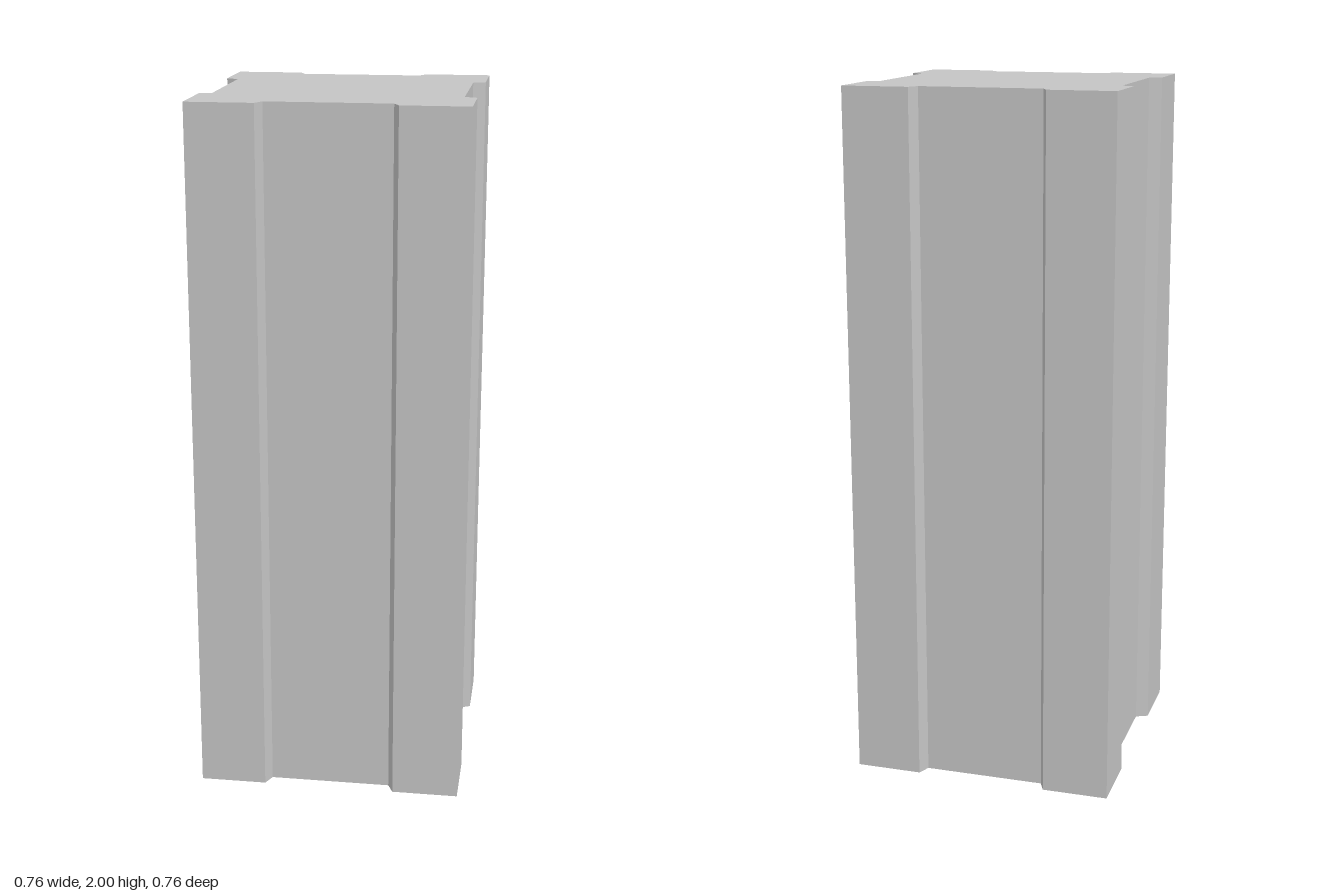
import * as THREE from 'three';

const HEIGHT = 2;
const OUTER = 0.38;       // half width across the corner piers
const RECESS = 0.345;     // half width across the sunken panels
const GROOVE_OUT = 0.19;  // half width of a panel at its mouth
const GROOVE_IN = 0.174;  // half width of a panel at its floor

export function createModel() {
  const group = new THREE.Group();
  group.name = 'pillar';

  const stone = new THREE.MeshStandardMaterial({ color: 0xc4c4c4 });
  stone.name = 'grey stone';

  // One side of the plan, turned four times around the centre
  const side = [
    [OUTER, -OUTER],
    [OUTER, -GROOVE_OUT],
    [RECESS, -GROOVE_IN],
    [RECESS, GROOVE_IN],
    [OUTER, GROOVE_OUT],
  ].map(([x, y]) => new THREE.Vector2(x, y));
  const plan = [];
  const centre = new THREE.Vector2();
  for (let i = 0; i < 4; i++) {
    for (const p of side) plan.push(p.clone().rotateAround(centre, i * Math.PI / 2));
  }

  // Square shaft with a shallow sunken panel on each face
  const geometry = new THREE.ExtrudeGeometry(new THREE.Shape(plan), {
    depth: HEIGHT,
    bevelEnabled: false,
  });
  geometry.rotateX(-Math.PI / 2);
  const shaft = new THREE.Mesh(geometry, stone);
  shaft.name = 'shaft';
  group.add(shaft);

  return group;
}
